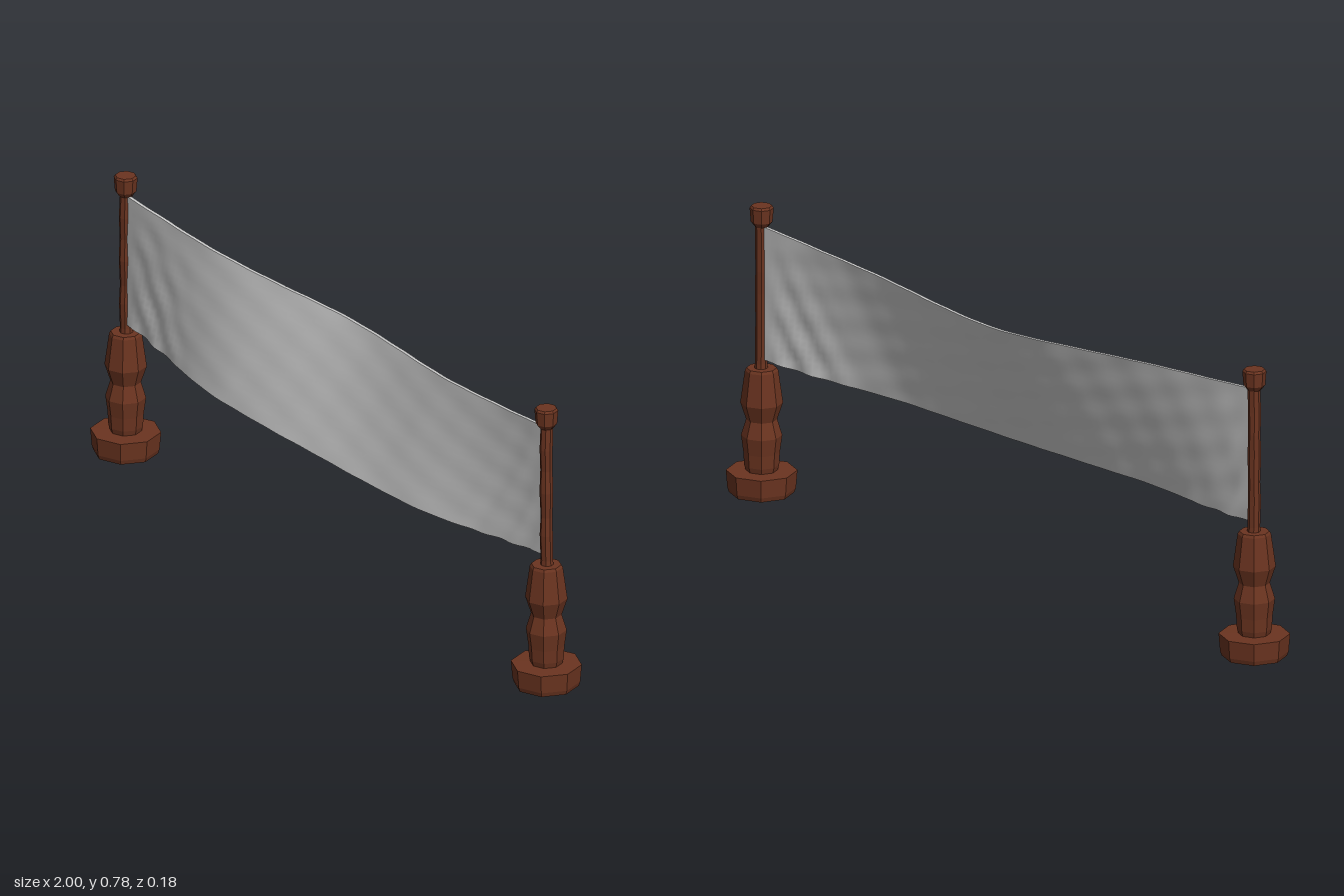
import * as THREE from 'three';

const POST_X = 0.906;
const CLOTH_HALF = 0.9;

const wood = new THREE.MeshStandardMaterial({ color: 0x6b3420, flatShading: true });
const cloth = new THREE.MeshStandardMaterial({ color: 0xcccccc });

// Eight-sided turned part from [radius, height] pairs, bottom to top
function turned(name, profile, wobble = 0) {
  const points = profile.map(([r, y]) => new THREE.Vector2(r, y));
  const geometry = new THREE.LatheGeometry(points, 8);
  const p = geometry.attributes.position;
  // Slight hand-carved unevenness, the same at every point of a ring
  for (let i = 0; i < p.count; i++) {
    const y = p.getY(i);
    p.setX(i, p.getX(i) + wobble * Math.sin(y * 61));
    p.setZ(i, p.getZ(i) + wobble * Math.cos(y * 47));
  }
  const mesh = new THREE.Mesh(geometry, wood);
  mesh.name = name;
  return mesh;
}

function createPost(name) {
  const post = new THREE.Group();
  post.name = name;
  post.add(
    turned('foot', [[0, 0], [0.084, 0], [0.088, 0.012], [0.092, 0.06], [0, 0.062]]),
    turned('pedestal', [[0.04, 0.055], [0.045, 0.075], [0.047, 0.11], [0.053, 0.155],
      [0.04, 0.198], [0.055, 0.243], [0.043, 0.33], [0.039, 0.337], [0, 0.337]]),
    turned('pole', [[0.018, 0.33], [0.016, 0.35], [0.017, 0.42], [0.0155, 0.47],
      [0.0175, 0.54], [0.016, 0.6], [0.017, 0.66], [0.016, 0.73]], 0.0012),
    turned('finial', [[0, 0.72], [0.018, 0.72], [0.028, 0.733], [0.031, 0.77], [0.027, 0.776], [0, 0.776]])
  );
  return post;
}

// Small crumples, strongest in the lower corners
function crumple(x, v) {
  const corner = THREE.MathUtils.smoothstep(Math.abs(x), 0.55, 0.8) * (1 - v);
  const fade = 1 - THREE.MathUtils.smoothstep(Math.abs(x), 0.82, CLOTH_HALF);
  const fine = Math.sin(x * 31 + v * 9) * Math.sin(v * 17 - x * 13);
  const folds = Math.sin(Math.abs(x) * 55 - v * 14 + x * 3);
  return fade * (0.0012 * fine + 0.005 * corner * folds);
}

// Hanging cloth: the top edge bows back, the bottom edge bows forward
function createBanner() {
  const geometry = new THREE.BoxGeometry(2, 1, 1, 96, 20, 1);
  const p = geometry.attributes.position;
  for (let i = 0; i < p.count; i++) {
    const u = p.getX(i);
    const v = p.getY(i) + 0.5;
    const a = Math.abs(u);
    const x = u * CLOTH_HALF;
    const topY = 0.68 + 0.042 * Math.pow(a, 1.5);
    const bottomY = 0.338 + 0.024 * Math.pow(a, 2.5);
    const topZ = -0.054 * Math.exp(-Math.pow(x / 0.36, 2));
    const bottomZ = 0.066 * (1 - THREE.MathUtils.smoothstep(a, 0.4, 1.04));
    const y = THREE.MathUtils.lerp(bottomY, topY, v);
    const z = THREE.MathUtils.lerp(bottomZ, topZ, v) + crumple(x, v);
    p.setXYZ(i, x, y, z + p.getZ(i) * 0.009);
  }
  geometry.computeVertexNormals();
  const mesh = new THREE.Mesh(geometry, cloth);
  mesh.name = 'banner';
  return mesh;
}

export function createModel() {
  const model = new THREE.Group();
  model.name = 'bannerOnPosts';
  for (const side of [1, -1]) {
    const post = createPost(side > 0 ? 'leftPost' : 'rightPost');
    post.position.x = side * POST_X;
    model.add(post);
  }
  model.add(createBanner());
  return model;
}
